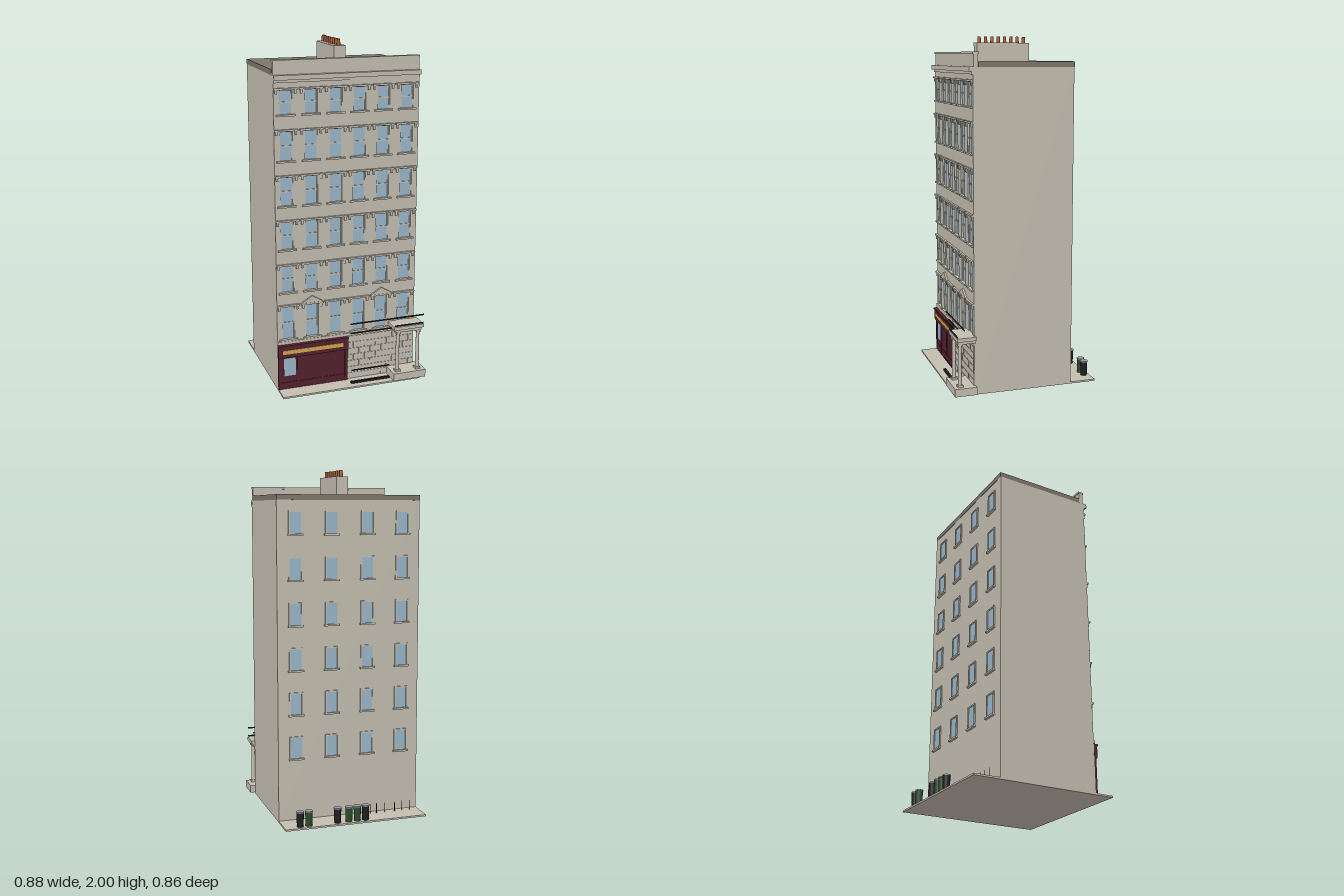
import * as THREE from 'three';

const mat = (name, color) => {
  const m = new THREE.MeshStandardMaterial({ color });
  m.name = name;
  return m;
};

export function createModel() {
  const root = new THREE.Group();
  root.name = 'townhouse';
  const stone = mat('stone', 0xc4beb0), slate = mat('roof slate', 0x7b776d);
  const glass = mat('window glass', 0x9ab6cb), maroon = mat('shop maroon', 0x54202c);
  const gold = mat('sign gold', 0xcfa550), clay = mat('chimney clay', 0xa85a38);
  const black = mat('black iron', 0x1e1e20), green = mat('bin green', 0x2a4a2c);
  const grey = mat('bin lid grey', 0x959aa2);

  const add = (name, geo, material, parent = root) => {
    const m = new THREE.Mesh(geo, material);
    m.name = name;
    parent.add(m);
    return m;
  };
  // Box given by its limits on each axis
  const box = (name, m, x0, x1, y0, y1, z0, z1, parent) =>
    add(name, new THREE.BoxGeometry(x1 - x0, y1 - y0, z1 - z0), m, parent)
      .position.set((x0 + x1) / 2, (y0 + y1) / 2, (z0 + z1) / 2);
  const cyl = (name, m, x, z, y0, y1, r0, r1 = r0, seg = 16, parent = root) =>
    add(name, new THREE.CylinderGeometry(r1, r0, y1 - y0, seg), m, parent)
      .position.set(x, (y0 + y1) / 2, z);
  const group = (name) => {
    const g = new THREE.Group();
    g.name = name;
    root.add(g);
    return g;
  };

  const L = -0.44, R = 0.408, FRONT = 0.307, BACK = -0.277;
  const cols = [-0.373, -0.23, -0.087, 0.052, 0.194, 0.336];
  const rows = [[1.62, 1.75], [1.365, 1.525], [1.11, 1.27], [0.857, 1.015], [0.603, 0.757], [0.317, 0.513]];

  // Pavement and main block
  box('pavement', stone, L, R, 0, 0.01, -0.43, 0.42);
  box('mainBlock', stone, L, R, 0.01, 1.83, BACK, 0.295);

  // Front wall with window openings
  const wall = new THREE.Shape([[L, 0.01], [R, 0.01], [R, 1.83], [L, 1.83]].map(p => new THREE.Vector2(...p)));
  for (const x of cols) for (const [y0, y1] of rows) {
    wall.holes.push(new THREE.Path([[x - 0.037, y0], [x - 0.037, y1], [x + 0.037, y1], [x + 0.037, y0]]
      .map(p => new THREE.Vector2(...p))));
  }
  add('frontWall', new THREE.ExtrudeGeometry(wall, { depth: 0.012, bevelEnabled: false }), stone).position.z = 0.295;

  // Front windows: pane, sash bar, sill, bracketed hood or pediment
  const fw = group('frontWindows');
  rows.forEach(([y0, y1], r) => cols.forEach((x, c) => {
    const mid = (y0 + y1) / 2;
    box('pane', glass, x - 0.037, x + 0.037, y0, y1, 0.294, 0.298, fw);
    box('sashBar', stone, x - 0.037, x + 0.037, mid - 0.004, mid + 0.004, 0.297, 0.302, fw);
    for (const s of [-1, 1]) {
      box('sashSide', stone, x + s * 0.035 - 0.002, x + s * 0.035 + 0.002, y0, y1, 0.297, 0.302, fw);
      box('hoodBracket', stone, x + s * 0.055 - 0.006, x + s * 0.055 + 0.006, y1 - 0.018, y1 + 0.006, FRONT, 0.315, fw);
    }
    box('sill', stone, x - 0.054, x + 0.054, y0 - 0.01, y0, FRONT, 0.317, fw);
    box('hood', stone, x - 0.067, x + 0.067, y1 + 0.004, y1 + 0.014, FRONT, 0.32, fw);
    if (r === 5 && (c === 1 || c === 4)) {
      const tri = new THREE.Shape([[-0.067, 0], [0.067, 0], [0, 0.04]].map(p => new THREE.Vector2(...p)));
      add('pediment', new THREE.ExtrudeGeometry(tri, { depth: 0.011, bevelEnabled: false }), stone, fw)
        .position.set(x, y1 + 0.014, FRONT);
    }
  }));

  // Back windows with proud frames and sills
  const bw = group('backWindows');
  for (const x of [-0.334, -0.123, 0.09, 0.302]) for (let r = 0; r < 6; r++) {
    const y1 = 1.77 - r * 0.2546, y0 = y1 - 0.125;
    box('backPane', glass, x - 0.034, x + 0.034, y0, y1, -0.28, BACK, bw);
    for (const s of [-1, 1]) {
      box('frameSide', stone, x + s * 0.036 - 0.004, x + s * 0.036 + 0.004, y0, y1, -0.284, BACK, bw);
    }
    box('frameTop', stone, x - 0.04, x + 0.04, y1 - 0.006, y1 + 0.002, -0.284, BACK, bw);
    box('backSill', stone, x - 0.045, x + 0.045, y0 - 0.01, y0, -0.291, BACK, bw);
  }

  // Roof, cornice and parapet
  box('roof', slate, L, R, 1.83, 1.86, BACK - 0.002, 0.275);
  box('parapet', stone, L, R, 1.83, 1.9, 0.277, 0.302);
  box('coping', stone, L - 0.001, R + 0.001, 1.9, 1.912, 0.272, 0.307);
  box('cornice', stone, L - 0.001, R + 0.001, 1.807, 1.833, 0.296, 0.328);
  box('corniceBand', stone, L, R, 1.792, 1.807, FRONT, 0.314);

  // Chimney with a row of pots
  box('chimneyStack', stone, -0.051, 0.018, 1.86, 1.965, -0.148, 0.168);
  for (let i = 0; i < 8; i++) cyl('chimneyPot', clay, -0.016, -0.125 + i * 0.0386, 1.965, 2, 0.0105, 0.009, 12);

  // Shop front
  box('shopPanel', maroon, L, -0.016, 0.01, 0.21, FRONT, 0.315);
  box('shopFascia', maroon, L - 0.001, -0.015, 0.207, 0.275, FRONT, 0.328);
  box('shopCornice', maroon, L - 0.001, -0.015, 0.275, 0.285, FRONT, 0.334);
  box('signStrip', gold, -0.415, -0.045, 0.231, 0.255, 0.327, 0.331);
  box('shopWindow', glass, -0.405, -0.335, 0.09, 0.2, 0.314, 0.317);
  for (const x of [L + 0.008, -0.318, -0.17, -0.026]) {
    box('shopPilaster', maroon, x - 0.008, x + 0.008, 0.01, 0.207, FRONT, 0.32);
  }
  box('shopPlinth', maroon, L, -0.016, 0.01, 0.05, FRONT, 0.319);
  box('stringCourse', stone, L, R, 0.287, 0.305, FRONT, 0.315);

  // Rusticated blocks on the ground floor
  const blocks = group('rustication');
  for (let r = 0; r < 7; r++) for (let c = -1; c < 6; c++) {
    const x0 = Math.max(-0.012, -0.012 + (c + (r % 2) / 2) * 0.07);
    const x1 = Math.min(R, -0.012 + (c + 1 + (r % 2) / 2) * 0.07) - 0.003;
    if (x1 - x0 > 0.01) box('block', stone, x0, x1, 0.012 + r * 0.039, 0.048 + r * 0.039, FRONT, 0.31, blocks);
  }

  // Porch
  const porch = group('porch');
  box('porchStep', stone, 0.236, 0.44, 0.01, 0.055, 0.3, 0.428, porch);
  box('porchBeam', stone, 0.254, 0.42, 0.305, 0.322, 0.3, 0.403, porch);
  box('porchCanopy', stone, 0.243, 0.43, 0.322, 0.343, 0.3, 0.411, porch);
  for (const x of [0.272, 0.4]) {
    box('columnBase', stone, x - 0.016, x + 0.016, 0.055, 0.067, 0.374, 0.406, porch);
    cyl('columnShaft', stone, x, 0.39, 0.067, 0.295, 0.0115, 0.01, 20, porch);
    box('columnCapital', stone, x - 0.015, x + 0.015, 0.295, 0.306, 0.375, 0.405, porch);
  }

  // Iron rails
  const rails = group('railings');
  const rail = (x0, x1, y, z) => box('rail', black, x0, x1, y - 0.004, y + 0.004, z - 0.002, z + 0.002, rails);
  rail(-0.013, 0.405, 0.38, 0.362);
  rail(-0.013, 0.245, 0.322, 0.362);
  rail(0.245, 0.428, 0.402, 0.409);
  rail(0.245, 0.428, 0.351, 0.409);
  rail(-0.013, 0.228, 0.095, 0.378);
  box('areaGrate', black, -0.013, 0.228, 0.01, 0.022, 0.365, 0.38, rails);

  // Bins and thin posts in the back yard
  const bins = [[-0.075, black], [-0.025, green], [0.026, green], [0.094, black], [0.265, green], [0.316, black]];
  for (const [x, m] of bins) {
    cyl('bin', m, x, -0.398, 0.01, 0.092, 0.019, 0.021, 20);
    cyl('binLid', grey, x, -0.398, 0.092, 0.098, 0.0225, 0.0225, 20);
  }
  for (const x of [-0.384, -0.337, -0.29, -0.228, -0.176, -0.136]) cyl('yardPost', black, x, -0.311, 0.01, 0.068, 0.0018, 0.0018, 6);

  return root;
}
